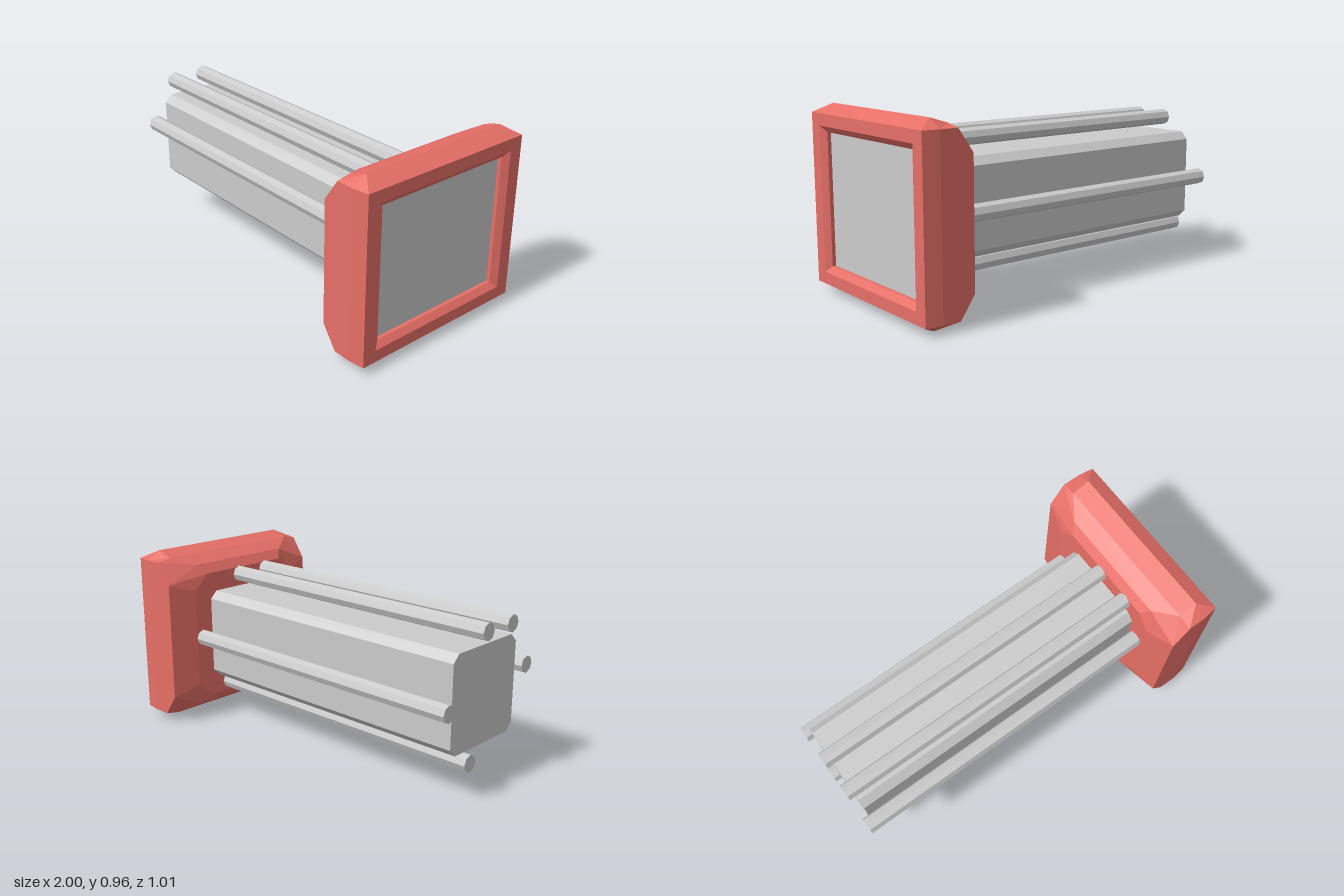
import * as THREE from 'three';

const MID = 0.482; // height of the long axis

// Octagonal ring across the x axis: half width, half height, and where the corner cuts start
const ring = (x, hz, hy, cz, cy, y0 = MID) => [
  [-hz, cy], [-cz, hy], [cz, hy], [hz, cy], [hz, -cy], [cz, -hy], [-cz, -hy], [-hz, -cy],
].map(([z, y]) => new THREE.Vector3(x, y + y0, z));

// Square-cornered ring
const square = (x, hz, hy) => ring(x, hz, hy, hz, hy);

// Flat-faced skin through a list of rings, with optional end caps
function loft(rings, capStart, capEnd) {
  const pts = [];
  const tri = (a, b, c) => {
    const area = b.clone().sub(a).cross(c.clone().sub(a)).length();
    if (area > 1e-9) pts.push(a, b, c);
  };
  for (let i = 0; i < rings.length - 1; i++) {
    const p = rings[i], q = rings[i + 1];
    for (let j = 0; j < 8; j++) {
      const k = (j + 1) % 8;
      tri(p[j], p[k], q[j]);
      tri(p[k], q[k], q[j]);
    }
  }
  const first = rings[0], last = rings[rings.length - 1];
  for (let j = 1; j < 7; j++) {
    if (capStart) tri(first[0], first[j + 1], first[j]);
    if (capEnd) tri(last[0], last[j], last[j + 1]);
  }
  const geo = new THREE.BufferGeometry().setFromPoints(pts);
  geo.computeVertexNormals();
  return geo;
}

export function createModel() {
  const group = new THREE.Group();
  const grey = new THREE.MeshStandardMaterial({ color: 0xcccccc, flatShading: true });
  const red = new THREE.MeshStandardMaterial({ color: 0xe66f67, flatShading: true });
  const add = (name, geo, mat) => {
    const mesh = new THREE.Mesh(geo, mat);
    mesh.name = name;
    group.add(mesh);
    return mesh;
  };

  // Red head: stepped bevels at the back, square frame with a stepped recess at the front
  add('headFrame', loft([
    ring(0.705, 0.355, 0.355, 0.27, 0.27),
    ring(0.74, 0.507, 0.405, 0.31, 0.32),
    ring(0.82, 0.507, 0.45, 0.43, 0.435),
    ring(0.915, 0.507, 0.48, 0.43, 0.435),
    square(1, 0.495, 0.435),
    square(1, 0.422, 0.373),
    square(0.975, 0.388, 0.342),
    square(0.955, 0.388, 0.342),
  ], true, false), red);

  // Grey plate at the bottom of the recess
  add('facePlate', new THREE.BoxGeometry(0.02, 0.69, 0.78), grey).position.set(0.946, MID, 0);

  // Main shaft with chamfered long edges
  add('shaft', loft([
    ring(-0.965, 0.248, 0.248, 0.208, 0.208),
    ring(0.72, 0.248, 0.248, 0.208, 0.208),
  ], true, true), grey);

  // Five thin rods around the shaft: [name, y, z]
  const rodGeo = new THREE.CylinderGeometry(0.044, 0.044, 1.72, 8).rotateZ(Math.PI / 2);
  [
    ['upperFrontRod', 0.8, 0.16],
    ['upperBackRod', 0.8, -0.035],
    ['frontRod', 0.565, 0.3],
    ['backRod', 0.48, -0.313],
    ['lowerRod', 0.185, -0.137],
  ].forEach(([name, y, z]) => add(name, rodGeo, grey).position.set(-0.14, y, z));

  return group;
}
